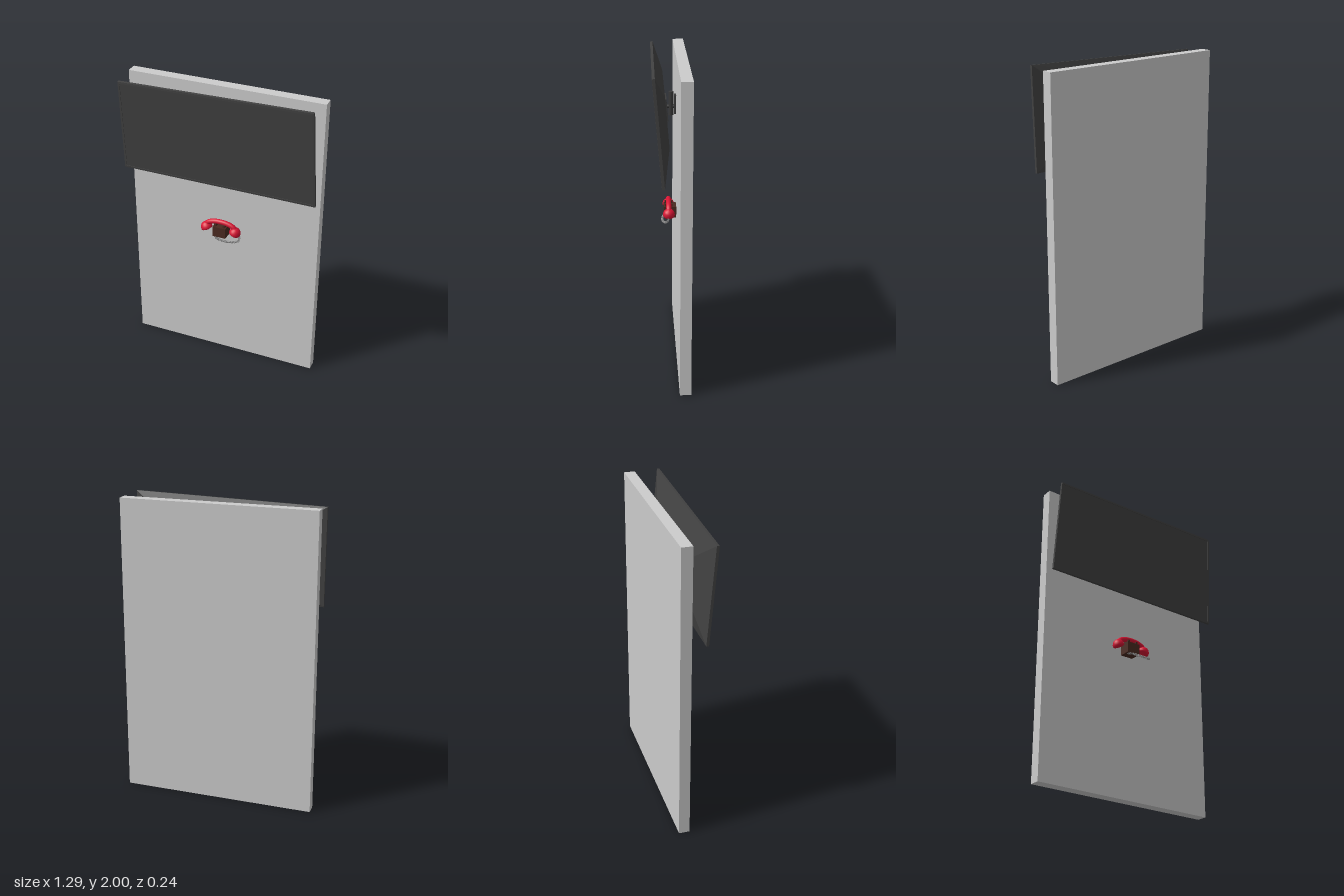
import * as THREE from 'three';

const mat = (color, flatShading = false) =>
  new THREE.MeshStandardMaterial({ color, flatShading });
const V = (x, y, z) => new THREE.Vector3(x, y, z);

// Closed solid from four-cornered loops, first loop facing front, last facing back
function loftQuads(loops) {
  const pos = [];
  const tri = (...pts) => pts.forEach(p => pos.push(p.x, p.y, p.z));
  const quad = (a, b, c, d) => { tri(a, b, c); tri(a, c, d); };
  quad(...loops[0]);
  for (let k = 0; k + 1 < loops.length; k++) {
    const A = loops[k], B = loops[k + 1];
    for (let i = 0; i < 4; i++) {
      const j = (i + 1) % 4;
      quad(A[i], B[i], B[j], A[j]);
    }
  }
  quad(...[...loops[loops.length - 1]].reverse());
  const g = new THREE.BufferGeometry();
  g.setAttribute('position', new THREE.Float32BufferAttribute(pos, 3));
  g.computeVertexNormals();
  return g;
}

export function createModel() {
  const model = new THREE.Group();
  const grey = mat(0xcccccc), dark = mat(0x414141, true), metal = mat(0x3a3a3a);
  const red = mat(0xd81433), brown = mat(0x4a2a20), cordGrey = mat(0x8c8c8c);
  const add = (parent, name, geo, material, x = 0, y = 0, z = 0) => {
    const m = new THREE.Mesh(geo, material);
    m.name = name;
    m.position.set(x, y, z);
    parent.add(m);
    return m;
  };

  // Wall, turned very slightly
  const wall = add(model, 'wall', new THREE.BoxGeometry(1.284, 1.99, 0.071), grey, 0.002, 0.995, -0.078);
  wall.rotation.y = 0.012;

  // Screen: slightly skewed, tilted forward, with a tapered back
  const BL = V(-0.648, 1.355, 0.066), BR = V(0.644, 1.355, 0.058);
  const TR = V(0.622, 2.0, 0.113), TL = V(-0.638, 1.973, 0.118);
  const normal = V(0.004, -0.085, 1).normalize();
  const at = (u, v, depth) => BL.clone().lerp(BR, u)
    .lerp(TL.clone().lerp(TR, u), v).addScaledVector(normal, -depth);
  const loop = (u0, u1, v0, v1, d) => [at(u0, v0, d), at(u1, v0, d), at(u1, v1, d), at(u0, v1, d)];
  add(model, 'television', loftQuads([
    loop(0.01, 0.99, 0.02, 0.98, 0.004),
    loop(0.01, 0.99, 0.02, 0.98, 0),
    loop(0, 1, 0, 1, 0.001),
    loop(0, 1, 0, 1, 0.018),
    loop(0.175, 0.82, 0.27, 0.75, 0.066),
  ]), dark);

  // Bracket between screen and wall
  const mount = new THREE.Group();
  mount.name = 'wallMount';
  model.add(mount);
  const plate = add(mount, 'screenPlate', new THREE.BoxGeometry(0.17, 0.14, 0.01), metal, -0.005, 1.68, 0.019);
  plate.rotation.x = 0.085;
  add(mount, 'pivotPost', new THREE.CylinderGeometry(0.016, 0.016, 0.15, 20), metal, -0.008, 1.705, -0.009);
  const arm = add(mount, 'arm', new THREE.CylinderGeometry(0.012, 0.012, 0.065, 16), metal, -0.008, 1.685, -0.01);
  arm.rotation.x = Math.PI / 2;
  add(mount, 'wallPlate', new THREE.BoxGeometry(0.05, 0.12, 0.012), metal, -0.008, 1.7, -0.036);

  // Telephone
  const phone = new THREE.Group();
  phone.name = 'telephone';
  model.add(phone);
  add(phone, 'cradle', new THREE.BoxGeometry(0.09, 0.072, 0.08), brown, 0, 0.996, -0.003);
  for (const s of [-1, 1])
    add(phone, 'cradleProng', new THREE.BoxGeometry(0.012, 0.024, 0.05), brown, s * 0.03, 1.038, 0.005);

  // Handset: arched grip with a domed cup at each end
  const handset = new THREE.Group();
  handset.name = 'handset';
  handset.position.z = 0.006;
  phone.add(handset);
  const grip = new THREE.CatmullRomCurve3([
    V(-0.108, 1.015, 0), V(-0.085, 1.041, 0), V(-0.045, 1.056, 0), V(0, 1.06, 0),
    V(0.045, 1.056, 0), V(0.085, 1.041, 0), V(0.108, 1.015, 0)]);
  add(handset, 'grip', new THREE.TubeGeometry(grip, 40, 0.0165, 16), red);
  const cup = new THREE.LatheGeometry([
    [0, -0.02], [0.03, -0.02], [0.036, -0.017], [0.038, -0.01], [0.037, 0],
    [0.032, 0.012], [0.024, 0.022], [0.012, 0.028], [0, 0.03],
  ].map(p => new THREE.Vector2(...p)), 28);
  for (const s of [-1, 1]) {
    const c = add(handset, s < 0 ? 'earpiece' : 'mouthpiece', cup, red, s * 0.103, 1.009, 0);
    c.rotation.z = -s * 0.4;
  }

  // Coiled cord, from the cradle round to the mouthpiece
  const path = new THREE.CatmullRomCurve3([
    V(-0.03, 0.962, 0.01), V(-0.02, 0.952, 0.035), V(0.03, 0.949, 0.046),
    V(0.09, 0.95, 0.042), V(0.13, 0.958, 0.025), V(0.135, 0.975, 0.01), V(0.12, 0.992, 0.006)]);
  const turns = 30, coil = [];
  for (let i = 0; i <= turns * 8; i++) {
    const t = i / (turns * 8), a = t * turns * Math.PI * 2;
    const tangent = path.getTangentAt(t);
    const side = V(0.2, 1, 0.3).cross(tangent).normalize();
    const up = tangent.clone().cross(side);
    coil.push(path.getPointAt(t).addScaledVector(side, 0.006 * Math.cos(a))
      .addScaledVector(up, 0.006 * Math.sin(a)));
  }
  add(phone, 'cord', new THREE.TubeGeometry(new THREE.CatmullRomCurve3(coil), 360, 0.0022, 6), cordGrey);

  return model;
}
